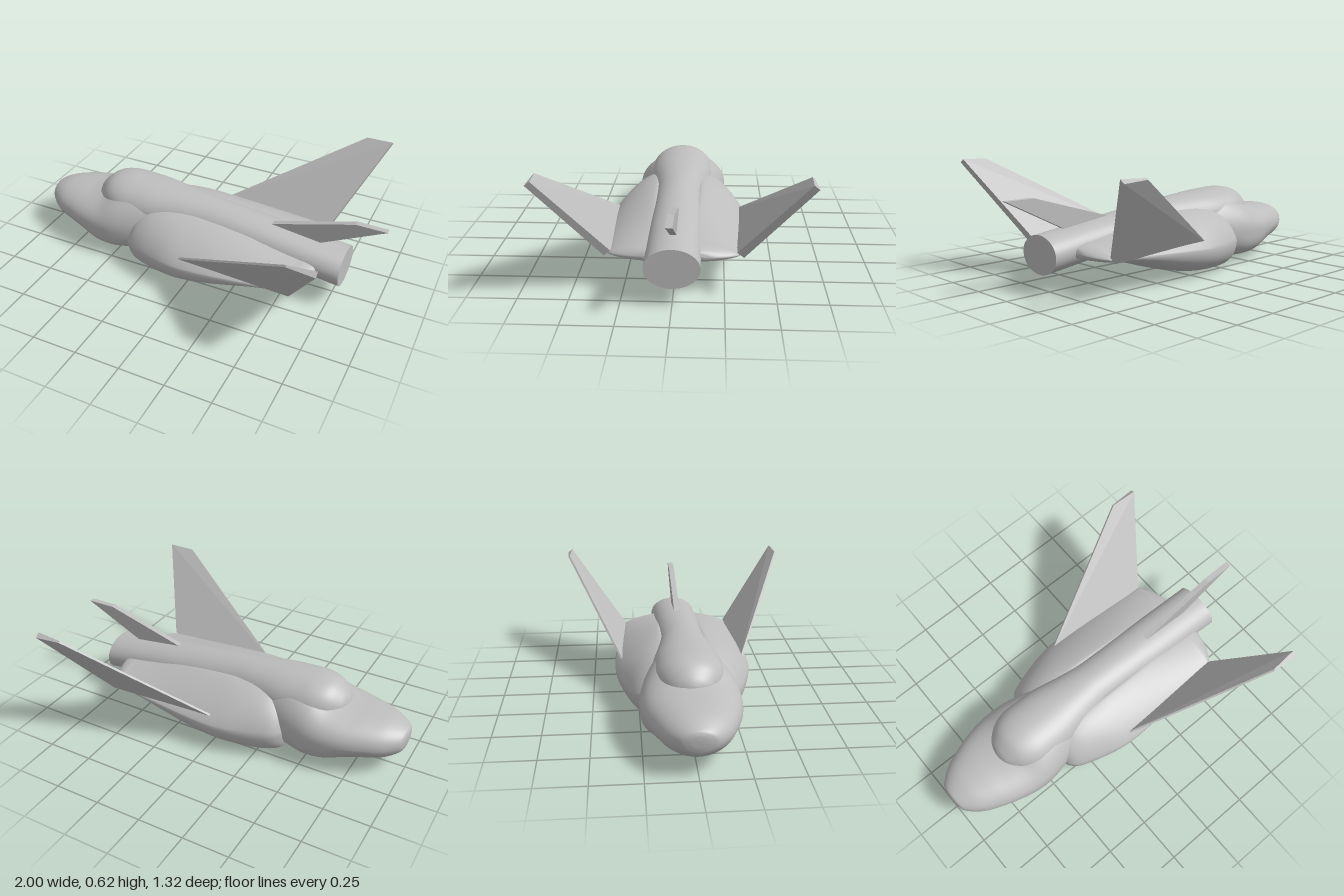
import * as THREE from 'three';

const paint = new THREE.MeshStandardMaterial({ color: 0xbdbdbd });
paint.name = 'hullGrey';

const RING = 56;
const STEPS = 6;

// Smooth skin over stations [x, yBottom, yTop, yWidest, zCentre, halfWidth, bottomPower, topPower];
// lean pulls the crown toward the centre line
function loft(stations, side = 1, lean = 0) {
  const spline = new THREE.CubicInterpolant(stations.map((_, i) => i), stations.flat(), 8);
  const positions = [];
  const index = [];
  const rows = (stations.length - 1) * STEPS + 1;
  for (let i = 0; i < rows; i++) {
    const [x, yB, yT, yM, zc, w, nB, nT] = spline.evaluate(i / STEPS);
    for (let j = 0; j < RING; j++) {
      const a = (j / RING) * Math.PI * 2;
      const c = Math.cos(a);
      const s = Math.sin(a);
      const n = s < 0 ? nB : nT;
      const rise = Math.pow(Math.abs(s), 2 / n);
      const out = Math.max(w, 0) * Math.sign(c) * Math.pow(Math.abs(c), 2 / n);
      const y = yM + ((s < 0 ? yB : yT) - yM) * rise;
      positions.push(x, y, side * (zc - (s > 0 ? lean * rise : 0)) + out);
    }
  }
  for (let i = 0; i < rows - 1; i++) {
    for (let j = 0; j < RING; j++) {
      const a = i * RING + j;
      const b = i * RING + ((j + 1) % RING);
      index.push(a, a + RING, b, b, a + RING, b + RING);
    }
  }
  // Flat rear cap with its own vertices, so its rim stays sharp
  const base = rows * RING;
  const end = stations[stations.length - 1];
  positions.push(...positions.slice(-RING * 3), end[0], end[3], side * end[4]);
  for (let j = 0; j < RING; j++) index.push(base + RING, base + ((j + 1) % RING), base + j);

  const g = new THREE.BufferGeometry();
  g.setAttribute('position', new THREE.Float32BufferAttribute(positions, 3));
  g.setIndex(index);
  g.computeVertexNormals();
  return g;
}

// Flat plate from an outline, centred on its thickness
function plate(points, depth) {
  const shape = new THREE.Shape(points.map(([x, y]) => new THREE.Vector2(x, y)));
  return new THREE.ExtrudeGeometry(shape, { depth, bevelEnabled: false }).translate(0, 0, -depth / 2);
}

// Swept wing, thin along the leading edge and thicker at the root, canted up and outward
function wingGeometry(side) {
  const span = 0.532;
  const lead = [-0.04, 0.69];
  const g = plate([[lead[0], 0], [0.615, 0], [0.835, span], [lead[1], span]], 0.032);
  const p = g.attributes.position;
  for (let i = 0; i < p.count; i++) {
    const atLead = lead.some((x) => Math.abs(p.getX(i) - x) < 0.001);
    p.setZ(i, p.getZ(i) * (atLead ? 0.35 : 1.3 - (0.3 * p.getY(i)) / span));
  }
  g.computeVertexNormals();
  return g.applyMatrix4(new THREE.Matrix4().makeBasis(
    new THREE.Vector3(1, 0, 0),
    new THREE.Vector3(0, 0.8, 0.6 * side),
    new THREE.Vector3(0, -0.6 * side, 0.8),
  ).setPosition(0, 0.19, 0.326 * side));
}

export function createModel() {
  const model = new THREE.Group();
  model.name = 'spacecraft';
  const add = (name, geometry) => {
    const mesh = new THREE.Mesh(geometry, paint);
    mesh.name = name;
    model.add(mesh);
  };

  // Broad nose with tucked cheeks and a flat belly, its shoulders rising into the canopy
  add('noseHull', loft([
    [-1.0, 0.205, 0.207, 0.206, 0, 0.001, 2, 2],
    [-0.995, 0.155, 0.235, 0.2, 0, 0.055, 2, 2],
    [-0.975, 0.118, 0.255, 0.19, 0, 0.1, 2, 2],
    [-0.9, 0.073, 0.282, 0.18, 0, 0.162, 1.85, 2.1],
    [-0.8, 0.042, 0.296, 0.175, 0, 0.206, 1.7, 2.2],
    [-0.7, 0.025, 0.306, 0.175, 0, 0.237, 2, 2.2],
    [-0.6, 0.016, 0.33, 0.175, 0, 0.254, 2.8, 2.1],
    [-0.5, 0.014, 0.382, 0.175, 0, 0.255, 3, 2],
    [-0.4, 0.012, 0.41, 0.18, 0, 0.238, 2.5, 1.9],
    [-0.3, 0.012, 0.406, 0.19, 0, 0.208, 2.4, 1.9],
    [-0.2, 0.015, 0.392, 0.2, 0, 0.172, 2.4, 1.9],
    [-0.1, 0.04, 0.372, 0.2, 0, 0.145, 2.2, 1.9],
    [0, 0.08, 0.35, 0.2, 0, 0.12, 2, 2],
    [0.12, 0.1, 0.3, 0.2, 0, 0.09, 2, 2],
    [0.3, 0.14, 0.24, 0.2, 0, 0.06, 2, 2],
  ]));

  // Raised canopy running back into the oval engine tube
  add('fuselage', loft([
    [-0.672, 0.27, 0.3, 0.28, 0, 0.002, 2, 2],
    [-0.665, 0.24, 0.325, 0.28, 0, 0.05, 2, 2],
    [-0.64, 0.22, 0.36, 0.28, 0, 0.097, 2, 2],
    [-0.58, 0.18, 0.405, 0.28, 0, 0.148, 2, 2.1],
    [-0.5, 0.15, 0.421, 0.28, 0, 0.178, 2, 2.1],
    [-0.4, 0.13, 0.42, 0.275, 0, 0.182, 2, 2.1],
    [-0.3, 0.12, 0.415, 0.27, 0, 0.178, 2, 2.1],
    [-0.2, 0.12, 0.408, 0.265, 0, 0.162, 2, 2.1],
    [-0.1, 0.125, 0.4, 0.262, 0, 0.147, 2, 2.1],
    [0, 0.13, 0.391, 0.26, 0, 0.138, 2, 2],
    [0.2, 0.145, 0.369, 0.255, 0, 0.133, 2, 2],
    [0.4, 0.147, 0.345, 0.245, 0, 0.132, 2, 2],
    [0.6, 0.123, 0.32, 0.222, 0, 0.133, 2, 2],
    [0.805, 0.097, 0.295, 0.196, 0, 0.135, 2, 2],
  ]));

  const podStations = [
    [-0.395, 0.14, 0.16, 0.15, 0.15, 0.01, 2, 2],
    [-0.392, 0.07, 0.22, 0.15, 0.15, 0.07, 2, 2],
    [-0.375, 0.026, 0.262, 0.15, 0.152, 0.105, 2, 2],
    [-0.34, 0.01, 0.295, 0.15, 0.156, 0.132, 2.1, 2],
    [-0.28, 0.002, 0.322, 0.15, 0.161, 0.152, 2.2, 1.9],
    [-0.2, 0.002, 0.335, 0.15, 0.167, 0.171, 2.2, 1.75],
    [-0.1, 0.007, 0.337, 0.153, 0.173, 0.19, 2.2, 1.6],
    [0, 0.018, 0.334, 0.158, 0.175, 0.199, 2.2, 1.45],
    [0.15, 0.047, 0.32, 0.168, 0.172, 0.199, 2.2, 1.4],
    [0.3, 0.09, 0.3, 0.176, 0.167, 0.191, 2.2, 1.4],
    [0.45, 0.137, 0.274, 0.183, 0.163, 0.178, 2.2, 1.5],
    [0.58, 0.162, 0.253, 0.188, 0.16, 0.166, 2.2, 1.6],
    [0.615, 0.168, 0.249, 0.191, 0.155, 0.161, 2.2, 1.7],
    [0.65, 0.174, 0.244, 0.196, 0.135, 0.13, 2.2, 1.8],
    [0.675, 0.18, 0.237, 0.202, 0.115, 0.088, 2.2, 2],
    [0.685, 0.19, 0.225, 0.205, 0.1, 0.05, 2, 2],
  ];
  for (const [label, side] of [['left', 1], ['right', -1]]) {
    // Swollen side pods, thinning to a flat tail
    add(label + 'Pod', loft(podStations, side, 0.05));
    add(label + 'Wing', wingGeometry(side));
  }

  // Swept fin above the engine
  add('tailFin', plate([[0.37, 0.342], [0.45, 0.28], [0.63, 0.295], [1.0, 0.48], [0.835, 0.48]], 0.032));

  return model;
}
